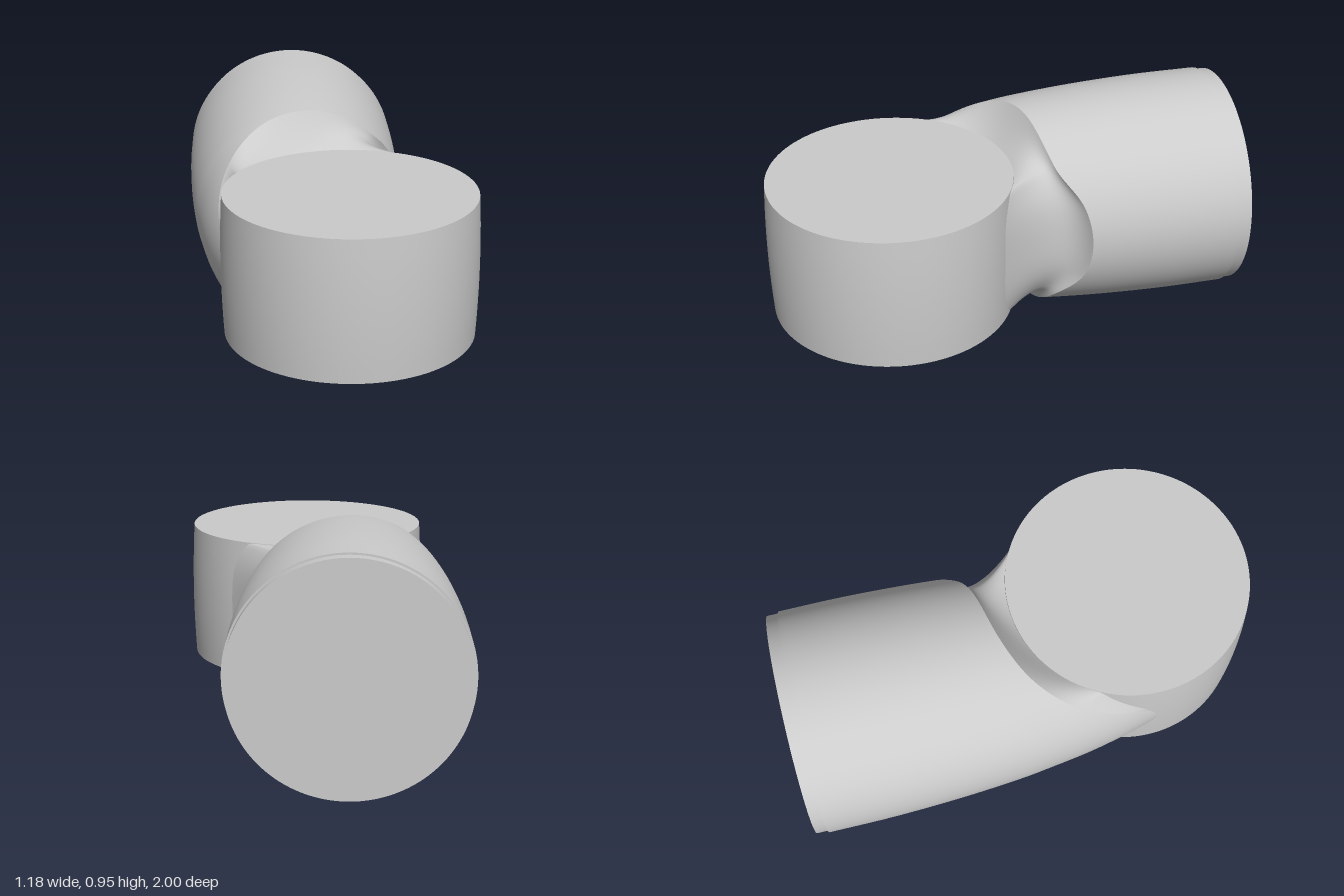
import * as THREE from 'three';

const MID_Y = 0.478, ARM_X = -0.118;
const DRUM = { x: 0.07, z: 0.484, r: 0.515, half: 0.292 };
const SEG = 128;

// Smooth interpolation through [key, value] pairs, flat at both ends
function curve(points) {
  const n = points.length;
  const slope = points.map((p, i) => (i === 0 || i === n - 1) ? 0
    : (points[i + 1][1] - points[i - 1][1]) / (points[i + 1][0] - points[i - 1][0]));
  return (x) => {
    let i = 0;
    while (i < n - 2 && x > points[i + 1][0]) i++;
    const [x0, y0] = points[i], [x1, y1] = points[i + 1], h = x1 - x0;
    const t = THREE.MathUtils.clamp((x - x0) / h, 0, 1), u = 1 - t;
    return y0 * (1 + 2 * t) * u * u + slope[i] * h * t * u * u
      + y1 * t * t * (3 - 2 * t) - slope[i + 1] * h * t * t * u;
  };
}

// Arm radius along z
const armRadius = curve([[-0.95, 0.474], [-0.7, 0.474], [-0.5, 0.468], [-0.3, 0.457], [-0.1, 0.44],
  [0, 0.427], [0.2, 0.397], [0.4, 0.352], [0.6, 0.292], [0.75, 0.23]]);
// Where the arm sleeve ends, by angle from +x
const shoulderZ = curve([[0, -0.31], [0.376, -0.28], [0.767, -0.18], [1.571, -0.1],
  [2.037, 0], [2.498, 0.2], [2.824, 0.43], [Math.PI, 0.66]]);
// Where the neck meets the drum (angle round the drum from -z)
const drumAngle = curve([[0, 0.74], [0.376, 0.68], [0.767, 0.42], [1.571, -0.38],
  [2.037, -0.85], [2.498, -1.21], [2.824, -1.57], [Math.PI, -1.95]]);

// Closed rings lofted from point(angle, t)
function loft(point, steps) {
  const pos = [], idx = [];
  for (let j = 0; j <= steps; j++) {
    for (let i = 0; i < SEG; i++) {
      pos.push(...point((i / SEG) * Math.PI * 2, j / steps).toArray());
      if (j === steps) continue;
      const a = j * SEG + i, b = j * SEG + (i + 1) % SEG;
      idx.push(a, b, a + SEG, b, b + SEG, a + SEG);
    }
  }
  const g = new THREE.BufferGeometry();
  g.setAttribute('position', new THREE.Float32BufferAttribute(pos, 3));
  g.setIndex(idx);
  g.computeVertexNormals();
  return g;
}

const fold = (angle) => (angle > Math.PI ? 2 * Math.PI - angle : angle);

function armPoint(angle, t) {
  const z = THREE.MathUtils.lerp(-0.95, shoulderZ(fold(angle)), t);
  const r = armRadius(z);
  return new THREE.Vector3(ARM_X + r * Math.cos(angle), MID_Y + r * Math.sin(angle), z);
}

// Concave blend from the shoulder edge to the drum wall
function neckPoint(angle, t) {
  const start = armPoint(angle, 1);
  const a = drumAngle(fold(angle)), r = DRUM.r - 0.008;
  const rise = THREE.MathUtils.clamp(start.y - MID_Y, -DRUM.half + 0.002, DRUM.half - 0.002);
  const end = new THREE.Vector3(DRUM.x + r * Math.sin(a), MID_Y + rise, DRUM.z - r * Math.cos(a));
  const w = Math.max(0, Math.cos(angle)) ** 2;
  const control = start.clone().lerp(end, 0.5);
  control.x -= 0.24 * w;
  control.z -= 0.11 * w;
  control.y -= 0.02 * Math.sin(angle);
  return new THREE.QuadraticBezierCurve3(start, control, end).getPoint(t);
}

// Lathe with hard edges between the given profile runs
function addLathe(group, name, runs, material) {
  const part = new THREE.Group();
  part.name = name;
  for (const run of runs) {
    const pts = run.map(([r, y]) => new THREE.Vector2(r, y));
    part.add(new THREE.Mesh(new THREE.LatheGeometry(pts, SEG), material));
  }
  group.add(part);
  return part;
}

export function createModel() {
  const model = new THREE.Group();
  model.name = 'elbowJoint';
  const grey = new THREE.MeshStandardMaterial({ color: 0xcccccc, side: THREE.DoubleSide });

  // Upright drum: barrel wall, flat lid, recessed underside
  const h = DRUM.half, barrel = [];
  for (let i = 0; i <= 10; i++) {
    const v = i / 5 - 1;
    barrel.push([DRUM.r - 0.009 * v * v, v * h]);
  }
  const drum = addLathe(model, 'drum', [
    barrel,
    [[DRUM.r - 0.009, h], [0, h]],
    [[0.49, -h], [DRUM.r - 0.009, -h]],
    [[0.49, -h + 0.045], [0.49, -h]],
    [[0, -h + 0.045], [0.49, -h + 0.045]],
  ], grey);
  drum.position.set(DRUM.x, MID_Y, DRUM.z);

  // Arm sleeve and the neck joining it to the drum
  const sleeve = new THREE.Mesh(loft(armPoint, 32), grey);
  sleeve.name = 'armSleeve';
  const neck = new THREE.Mesh(loft(neckPoint, 20), grey);
  neck.name = 'neck';
  model.add(sleeve, neck);

  // Stepped end collar with flat cap
  const collar = addLathe(model, 'endCollar', [
    [[0, -1], [0.466, -1]],
    [[0.466, -1], [0.466, -0.95]],
    [[0.466, -0.95], [0.474, -0.95]],
  ], grey);
  collar.rotation.x = Math.PI / 2;
  collar.position.set(ARM_X, MID_Y, 0);

  return model;
}
